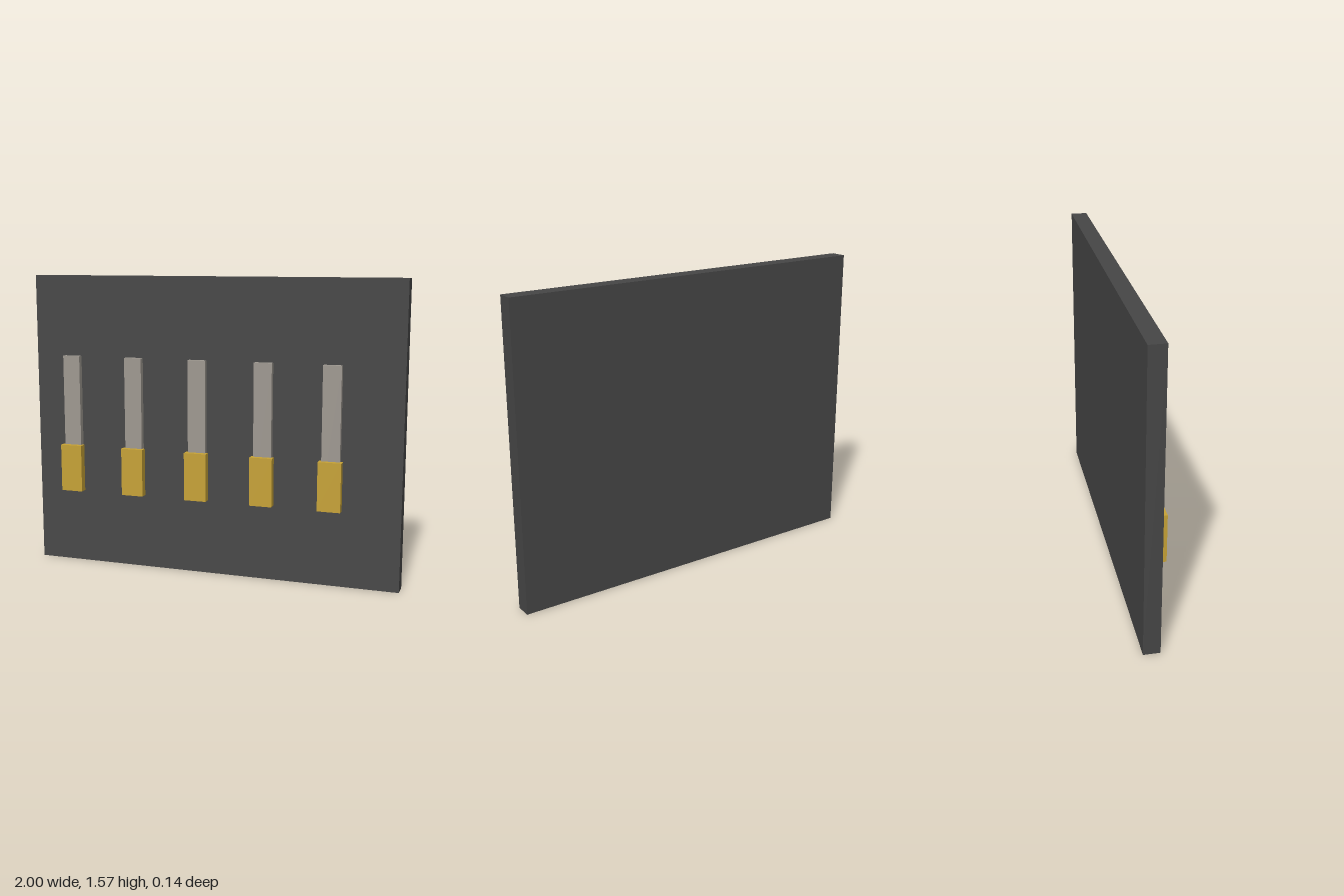
import * as THREE from 'three';

export function createModel() {
  const model = new THREE.Group();
  model.name = 'knifeRack';

  const charcoal = new THREE.MeshStandardMaterial({ name: 'charcoal panel', color: 0x464646 });
  const steel = new THREE.MeshStandardMaterial({ name: 'warm grey steel', color: 0x9e9890 });
  const gold = new THREE.MeshStandardMaterial({ name: 'golden handle', color: 0xc6a236 });

  // Box given by its centre x and its y and z ranges
  function addBox(parent, name, material, x, width, [y0, y1], [z0, z1]) {
    const mesh = new THREE.Mesh(new THREE.BoxGeometry(width, y1 - y0, z1 - z0), material);
    mesh.position.set(x, (y0 + y1) / 2, (z0 + z1) / 2);
    mesh.name = name;
    parent.add(mesh);
  }

  // Upright backing panel
  addBox(model, 'backPanel', charcoal, 0, 2, [0, 1.571], [-0.071, 0.014]);

  // Row of five blades with handles at the lower end
  for (let i = 0; i < 5; i++) {
    const knife = new THREE.Group();
    knife.name = `knife${i + 1}`;
    knife.position.x = -0.786 + i * 0.357;
    addBox(knife, 'blade', steel, 0, 0.095, [0.429, 1.143], [0.014, 0.043]);
    addBox(knife, 'handle', gold, 0, 0.12, [0.404, 0.658], [0.031, 0.071]);
    model.add(knife);
  }

  return model;
}
